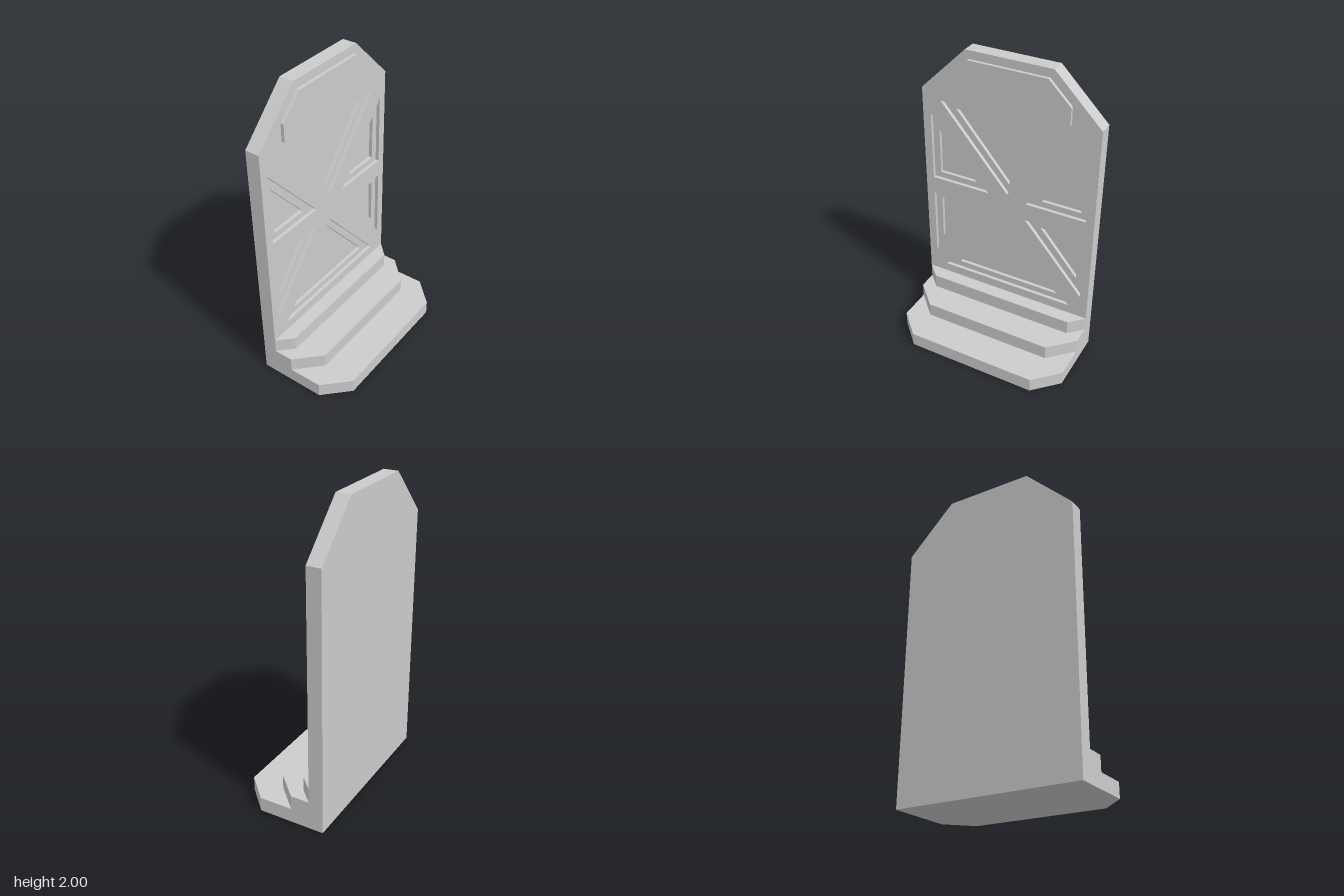
import * as THREE from 'three';

const stone = new THREE.MeshStandardMaterial({ color: 0xcccccc, flatShading: true });
const pale = new THREE.MeshStandardMaterial({ color: 0xf2f2f2, flatShading: true });

const toShape = (pts) => new THREE.Shape(pts.map(([x, y]) => new THREE.Vector2(x, y)));

// Outline symmetric about x = 0, given its right half from bottom to top
const symmetric = (half) => [...half, ...half.map(([x, y]) => [-x, y]).reverse()];

// Flat plate between two depths, with optional holes
function plate(name, pts, z0, z1, holes = []) {
  const shape = toShape(pts);
  shape.holes = holes.map(toShape);
  const geo = new THREE.ExtrudeGeometry(shape, { depth: z1 - z0, bevelEnabled: false });
  const mesh = new THREE.Mesh(geo.translate(0, 0, z0), stone);
  mesh.name = name;
  return mesh;
}

// Six triangles: top and bottom centre, plus mirrored side pairs
function triangles(top, side) {
  const list = [];
  const mid = 0.987;
  for (const sy of [1, -1]) {
    const place = (tri, sx) => tri.map(([x, y]) => [x * sx, mid + (y - mid) * sy]);
    list.push(place(top, 1), place(side, 1), place(side, -1));
  }
  return list;
}

export function createModel() {
  const model = new THREE.Group();
  const back = -0.3, front = -0.205, step = 0.024;

  const outer = triangles(
    [[-0.468, 1.625], [0, 1.082], [0.468, 1.625]],
    [[0.545, 1.048], [0.545, 1.522], [0.132, 1.048]]);
  const inner = triangles(
    [[-0.37, 1.583], [0, 1.147], [0.37, 1.583]],
    [[0.5, 1.088], [0.5, 1.4], [0.233, 1.088]]);

  // Door slab in three layers, so the triangles sink in two steps
  const outline = symmetric([[0.6, 0], [0.6, 1.69], [0.287, 2]]);
  model.add(
    plate('doorBack', outline, back, front - 2 * step),
    plate('doorInnerFrame', outline, front - 2 * step, front - step, inner),
    plate('doorFace', outline, front - step, front, outer));

  // Pale floors of the recesses
  const floors = new THREE.Group();
  floors.name = 'recessPanels';
  for (const tri of inner) {
    const floor = new THREE.Mesh(new THREE.ShapeGeometry(toShape(tri)), pale);
    floor.name = 'recessPanel';
    floor.position.z = front - 2 * step + 0.001;
    floors.add(floor);
  }
  model.add(floors);

  // Raised plaque near the top
  model.add(plate('topPlaque',
    symmetric([[0.41, 1.683], [0.41, 1.8], [0.263, 1.945]]), front, -0.184));

  // Stacked steps with cut front corners: [bottom, top, cornerZ, frontX, frontZ]
  const steps = [
    [0, 0.095, 0.143, 0.443, 0.3],
    [0.095, 0.19, -0.08, 0.443, 0.077],
    [0.19, 0.287, front, 0.508, -0.113],
  ];
  for (const [y0, y1, cornerZ, frontX, frontZ] of steps) {
    // Drawn with y as -z, then laid flat
    const half = [[frontX, -frontZ], [0.6, -cornerZ]];
    if (cornerZ > front) half.push([0.6, -front]);
    const mesh = plate('step', symmetric(half), y0, y1);
    mesh.geometry.rotateX(-Math.PI / 2);
    model.add(mesh);
  }
  return model;
}
